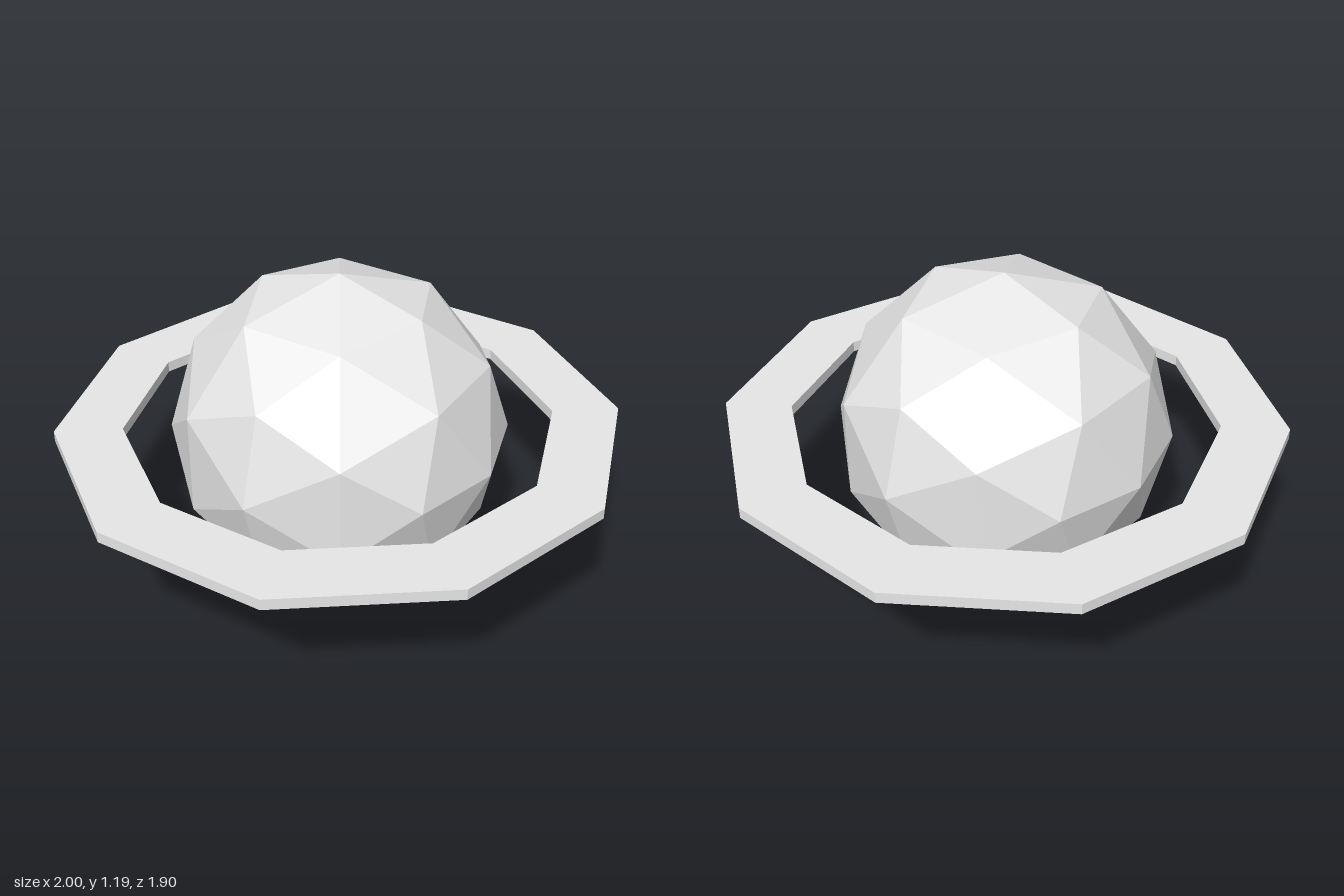
import * as THREE from 'three';

const CENTER_Y = 0.596;

// Ten corner points with one corner on the x axis
function decagon(radius) {
  return Array.from({ length: 10 }, (_, i) => {
    const a = (i / 10) * Math.PI * 2;
    return new THREE.Vector2(Math.cos(a) * radius, Math.sin(a) * radius);
  });
}

export function createModel() {
  const model = new THREE.Group();
  model.name = 'ringedPlanet';

  const lightGrey = new THREE.MeshStandardMaterial({ color: 0xe7e7e7, flatShading: true });
  lightGrey.name = 'lightGrey';

  // Faceted globe
  const globe = new THREE.Mesh(new THREE.IcosahedronGeometry(0.595, 1), lightGrey);
  globe.name = 'globe';
  globe.position.y = CENTER_Y;
  model.add(globe);

  // Flat ten-sided ring with an open gap around the globe
  const thickness = 0.04;
  const outline = new THREE.Shape(decagon(1));
  outline.holes.push(new THREE.Path(decagon(0.761)));
  const ringGeometry = new THREE.ExtrudeGeometry(outline, { depth: thickness, bevelEnabled: false });
  ringGeometry.translate(0, 0, -thickness / 2).rotateX(-Math.PI / 2);
  const ring = new THREE.Mesh(ringGeometry, lightGrey);
  ring.name = 'ring';
  ring.position.y = CENTER_Y;
  model.add(ring);

  return model;
}
